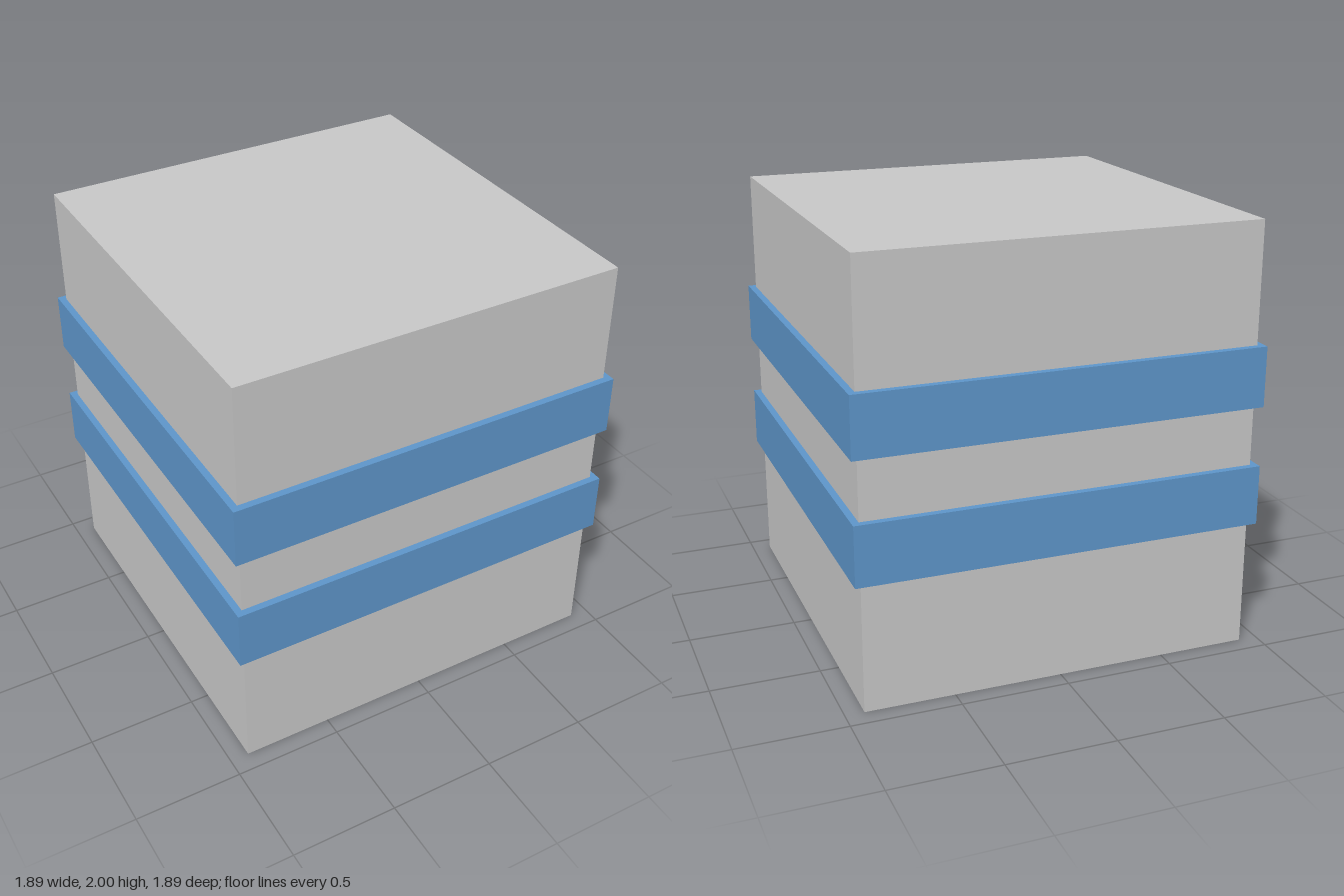
import * as THREE from 'three';

const grey = new THREE.MeshStandardMaterial({ color: 0xc8c8c8 });
grey.name = 'light grey';
const blue = new THREE.MeshStandardMaterial({ color: 0x5e96ca });
blue.name = 'blue';

// Square block of a given width, spanning y from bottom to top
function block(name, width, bottom, top, material) {
  const mesh = new THREE.Mesh(new THREE.BoxGeometry(width, top - bottom, width), material);
  mesh.name = name;
  mesh.position.y = (bottom + top) / 2;
  return mesh;
}

export function createModel() {
  const model = new THREE.Group();
  model.name = 'bandedBlock';

  // Main body
  model.add(block('body', 1.826, 0, 2, grey));

  // Two raised bands around the body
  model.add(block('lowerBand', 1.89, 0.6, 0.88, blue));
  model.add(block('upperBand', 1.89, 1.16, 1.44, blue));

  return model;
}
